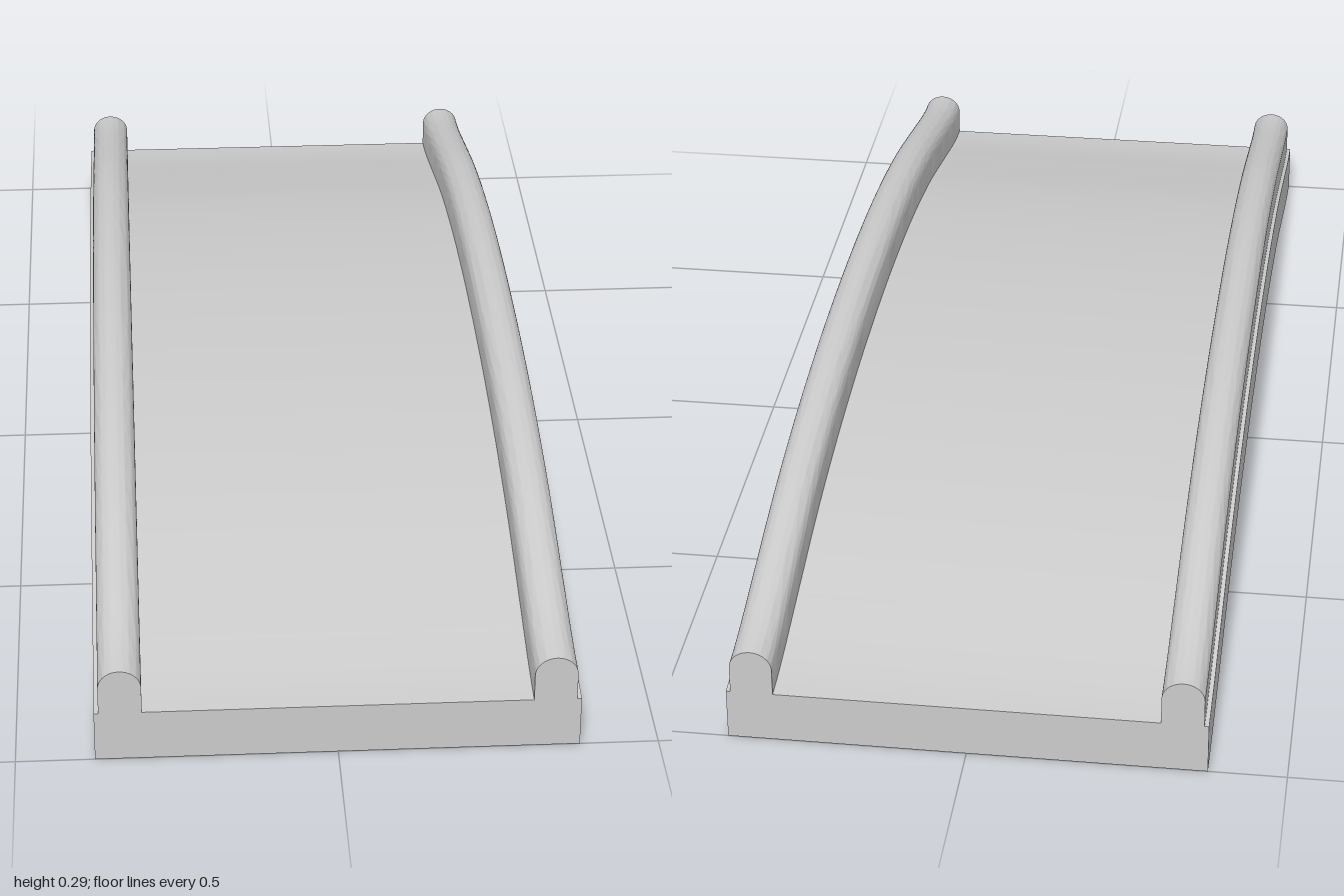
import * as THREE from 'three';
import { toCreasedNormals } from 'three/addons/utils/BufferGeometryUtils.js';

const LENGTH = 2, HALF_WIDTH = 0.377, DECK = 0.085;
const RAIL_X = 0.3365, RAIL_HALF = 0.0335, RAIL_SHOULDER = 0.13, RAIL_ROUND = 0.031;

// Height of the arch against distance from the middle, level at crown and ends
const rise = new THREE.CubicInterpolant(
  [0, 0.2, 0.4, 0.6, 0.8, 0.93, 1],
  [0.132, 0.127, 0.111, 0.082, 0.038, 0.009, 0], 1);
rise.settings = { endingStart: THREE.ZeroSlopeEnding, endingEnd: THREE.ZeroSlopeEnding };

// Extrudes a cross-section along z and bends it over the arch
function archedBar(name, shape, material) {
  const geometry = new THREE.ExtrudeGeometry(shape, {
    depth: LENGTH, steps: 64, bevelEnabled: false, curveSegments: 14,
  });
  geometry.translate(0, 0, -LENGTH / 2);
  const p = geometry.attributes.position;
  for (let i = 0; i < p.count; i++) {
    const z = Math.min(Math.abs(p.getZ(i)), 1);
    p.setY(i, p.getY(i) + rise.evaluate(z)[0]);
  }
  const mesh = new THREE.Mesh(toCreasedNormals(geometry, 0.6), material);
  mesh.name = name;
  return mesh;
}

// Flat slab section
function deckSection() {
  const s = new THREE.Shape();
  s.moveTo(-HALF_WIDTH, 0);
  s.lineTo(HALF_WIDTH, 0);
  s.lineTo(HALF_WIDTH, DECK);
  s.lineTo(-HALF_WIDTH, DECK);
  s.closePath();
  return s;
}

// Upright kerb section with a rounded top
function railSection(x) {
  const s = new THREE.Shape();
  s.moveTo(x - RAIL_HALF, DECK);
  s.lineTo(x + RAIL_HALF, DECK);
  s.lineTo(x + RAIL_HALF, RAIL_SHOULDER);
  s.absellipse(x, RAIL_SHOULDER, RAIL_HALF, RAIL_ROUND, 0, Math.PI, false, 0);
  s.closePath();
  return s;
}

export function createModel() {
  const group = new THREE.Group();
  group.name = 'archedBridge';
  const material = new THREE.MeshStandardMaterial({ color: 0xcccccc });

  group.add(archedBar('deck', deckSection(), material));
  group.add(archedBar('leftRail', railSection(RAIL_X), material));
  group.add(archedBar('rightRail', railSection(-RAIL_X), material));
  return group;
}
